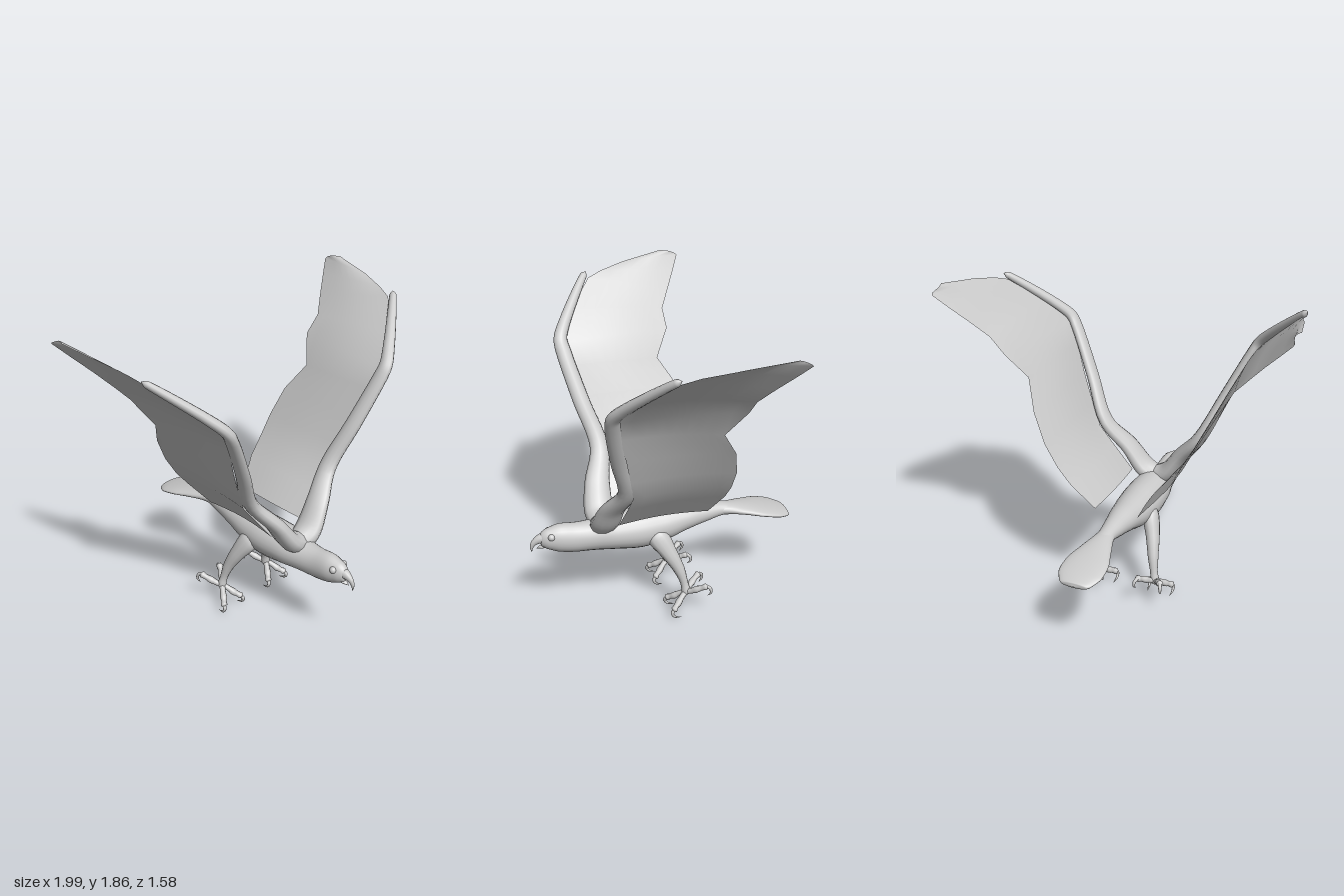
import * as THREE from 'three';
import { mergeVertices } from 'three/addons/utils/BufferGeometryUtils.js';

const grey = new THREE.MeshStandardMaterial({ color: 0xcccccc });
const sheet = new THREE.MeshStandardMaterial({ color: 0xcccccc, side: THREE.DoubleSide });

// Tapered tube through stations [x, y, z, rx, ry, rz]
function taper(name, stations, sides = 12, steps = 5) {
  const curve = new THREE.CatmullRomCurve3(stations.map(p => new THREE.Vector3(p[0], p[1], p[2])));
  const radii = new THREE.CatmullRomCurve3(
    stations.map(([, , , rx, ry = rx, rz = ry]) => new THREE.Vector3(rx, ry, rz)), false, 'catmullrom', 0.4);
  curve.getPointAt = curve.getPoint;
  curve.getTangentAt = curve.getTangent;
  const n = (stations.length - 1) * steps;
  const geo = new THREE.TubeGeometry(curve, n, 1, sides);
  const pos = geo.attributes.position;
  const v = new THREE.Vector3();
  for (let i = 0; i <= n; i++) {
    const c = curve.getPoint(i / n);
    const r = radii.getPoint(i / n).max(new THREE.Vector3(0.0005, 0.0005, 0.0005));
    for (let j = 0; j <= sides; j++) {
      const k = i * (sides + 1) + j;
      v.fromBufferAttribute(pos, k).sub(c).multiply(r).add(c);
      pos.setXYZ(k, v.x, v.y, v.z);
    }
  }
  geo.deleteAttribute('uv');
  geo.deleteAttribute('normal');
  const smooth = mergeVertices(geo, 1e-5);
  smooth.computeVertexNormals();
  const mesh = new THREE.Mesh(smooth, grey);
  mesh.name = name;
  return mesh;
}

// Ribs of the feather surface: leading point, then trailing point
const RIBS = [
  [[0.13, 0.63, 0.30], [0.13, 0.63, -0.235]],
  [[0.24, 0.78, 0.28], [0.25, 0.78, -0.29]],
  [[0.33, 0.90, 0.27], [0.33, 0.88, -0.295]],
  [[0.39, 1.03, 0.30], [0.41, 1.01, -0.29]],
  [[0.46, 1.19, 0.34], [0.49, 1.17, -0.25]],
  [[0.53, 1.36, 0.39], [0.57, 1.33, -0.15]],
  [[0.585, 1.48, 0.43], [0.66, 1.48, -0.24]],
  [[0.73, 1.63, 0.33], [0.75, 1.575, -0.24]],
  [[0.87, 1.77, 0.19], [0.83, 1.665, -0.30]],
  [[0.90, 1.80, 0.10], [0.92, 1.76, -0.365]],
  [[0.945, 1.83, -0.05], [0.985, 1.83, -0.41]],
  [[0.995, 1.865, -0.30], [0.99, 1.84, -0.40]],
];

function feathers(s) {
  const cols = 8, verts = [], index = [];
  RIBS.forEach(([a, b], i) => {
    for (let j = 0; j <= cols; j++) {
      const t = j / cols, bow = 0.015 * Math.sin(Math.PI * t);
      verts.push(s * (a[0] + (b[0] - a[0]) * t - bow), a[1] + (b[1] - a[1]) * t + bow * 0.6, a[2] + (b[2] - a[2]) * t);
      if (i && j) {
        const d = i * (cols + 1) + j, c = d - 1, q = d - cols - 1, p = q - 1;
        if (s > 0) index.push(p, q, c, q, d, c);
        else index.push(p, c, q, q, c, d);
      }
    }
  });
  const geo = new THREE.BufferGeometry();
  geo.setAttribute('position', new THREE.Float32BufferAttribute(verts, 3));
  geo.setIndex(index);
  geo.computeVertexNormals();
  const mesh = new THREE.Mesh(geo, sheet);
  mesh.name = 'wingFeathers';
  return mesh;
}

function wing(s) {
  const g = new THREE.Group();
  g.name = s > 0 ? 'leftWing' : 'rightWing';
  g.add(feathers(s));
  // Arm bone and muscle along the leading edge
  g.add(taper('wingArm', [
    [0, 0.575, 0.37, 0.07, 0.07, 0.07],
    [s * 0.08, 0.635, 0.365, 0.055, 0.055, 0.085],
    [s * 0.17, 0.765, 0.345, 0.045, 0.045, 0.075],
    [s * 0.30, 0.925, 0.295, 0.038, 0.038, 0.055],
    [s * 0.42, 1.18, 0.365, 0.032, 0.035, 0.05],
    [s * 0.55, 1.45, 0.43, 0.03, 0.03, 0.045],
    [s * 0.585, 1.51, 0.435, 0.03, 0.03, 0.04],
    [s * 0.65, 1.58, 0.395, 0.028, 0.028, 0.036],
    [s * 0.88, 1.785, 0.215, 0.017, 0.02, 0.022],
    [s * 0.90, 1.80, 0.195, 0, 0, 0],
  ]));
  return g;
}

function leg(s) {
  const g = new THREE.Group();
  g.name = s > 0 ? 'leftLeg' : 'rightLeg';
  g.add(taper('shank', [
    [s * 0.07, 0.53, 0.09, 0.03],
    [s * 0.095, 0.48, 0.055, 0.045, 0.055, 0.065],
    [s * 0.13, 0.385, 0.0, 0.04, 0.04, 0.05],
    [s * 0.155, 0.28, -0.053, 0.032, 0.03, 0.034],
    [s * 0.172, 0.19, -0.08, 0.023],
    [s * 0.182, 0.13, -0.088, 0.026],
    [s * 0.184, 0.11, -0.086, 0],
  ]));
  // Two toes reach forward and down, two reach back and up
  for (const side of [-1, 1]) {
    const x = d => s * 0.183 + side * d;
    g.add(taper('frontToe', [
      [x(0), 0.135, -0.085, 0.018], [x(0.025), 0.112, -0.05, 0.017], [x(0.04), 0.093, -0.028, 0.021],
      [x(0.055), 0.08, -0.008, 0.016], [x(0.068), 0.068, 0.008, 0.02], [x(0.072), 0.06, 0.018, 0.002],
    ], 8, 4));
    g.add(taper('frontClaw', [
      [x(0.068), 0.07, 0.006, 0.012], [x(0.075), 0.05, 0.021, 0.01],
      [x(0.076), 0.024, 0.006, 0.007], [x(0.07), 0.01, -0.035, 0.001],
    ], 8, 4));
    g.add(taper('backToe', [
      [x(0), 0.135, -0.085, 0.018], [x(0.025), 0.15, -0.115, 0.017], [x(0.042), 0.165, -0.14, 0.021],
      [x(0.058), 0.18, -0.165, 0.016], [x(0.07), 0.192, -0.188, 0.02], [x(0.074), 0.196, -0.2, 0.002],
    ], 8, 4));
    g.add(taper('backClaw', [
      [x(0.07), 0.195, -0.19, 0.012], [x(0.08), 0.18, -0.212, 0.01],
      [x(0.082), 0.152, -0.215, 0.007], [x(0.076), 0.132, -0.195, 0.001],
    ], 8, 4));
  }
  return g;
}

export function createModel() {
  const model = new THREE.Group();
  model.name = 'bird';

  // Head, neck and trunk, from front to back
  model.add(taper('body', [
    [0, 0.54, 0.735, 0, 0],
    [0, 0.54, 0.725, 0.028, 0.04],
    [0, 0.54, 0.69, 0.048, 0.064],
    [0, 0.535, 0.62, 0.066, 0.086],
    [0, 0.522, 0.53, 0.072, 0.09],
    [0, 0.52, 0.44, 0.085, 0.092],
    [0, 0.525, 0.30, 0.115, 0.108],
    [0, 0.518, 0.14, 0.122, 0.118],
    [0, 0.527, 0.0, 0.11, 0.105],
    [0, 0.544, -0.13, 0.088, 0.082],
    [0, 0.552, -0.25, 0.066, 0.062],
    [0, 0.556, -0.36, 0.05, 0.042],
    [0, 0.55, -0.42, 0.058, 0.034],
  ], 24));

  // Fanned, flattened tail
  model.add(taper('tail', [
    [0, 0.557, -0.33, 0.045, 0.035],
    [0, 0.554, -0.40, 0.058, 0.034],
    [0, 0.542, -0.50, 0.09, 0.03],
    [0, 0.523, -0.61, 0.124, 0.026],
    [0, 0.503, -0.70, 0.126, 0.022],
    [0, 0.487, -0.755, 0.1, 0.02],
    [0, 0.479, -0.78, 0.075, 0.017],
    [0, 0.478, -0.787, 0, 0],
  ], 24));

  // Hooked upper beak and short lower beak
  model.add(taper('upperBeak', [
    [0, 0.55, 0.70, 0.036, 0.036], [0, 0.545, 0.735, 0.024, 0.027],
    [0, 0.525, 0.768, 0.014, 0.018], [0, 0.498, 0.782, 0.008, 0.01], [0, 0.468, 0.782, 0.001],
  ], 12));
  model.add(taper('lowerBeak', [
    [0, 0.503, 0.68, 0.028, 0.018], [0, 0.495, 0.72, 0.018, 0.011], [0, 0.487, 0.755, 0.001],
  ], 12));

  for (const s of [1, -1]) {
    const eye = new THREE.Mesh(new THREE.SphereGeometry(0.02, 16, 12), grey);
    eye.name = s > 0 ? 'leftEye' : 'rightEye';
    eye.position.set(s * 0.042, 0.567, 0.672);
    model.add(eye, wing(s), leg(s));
  }
  return model;
}
